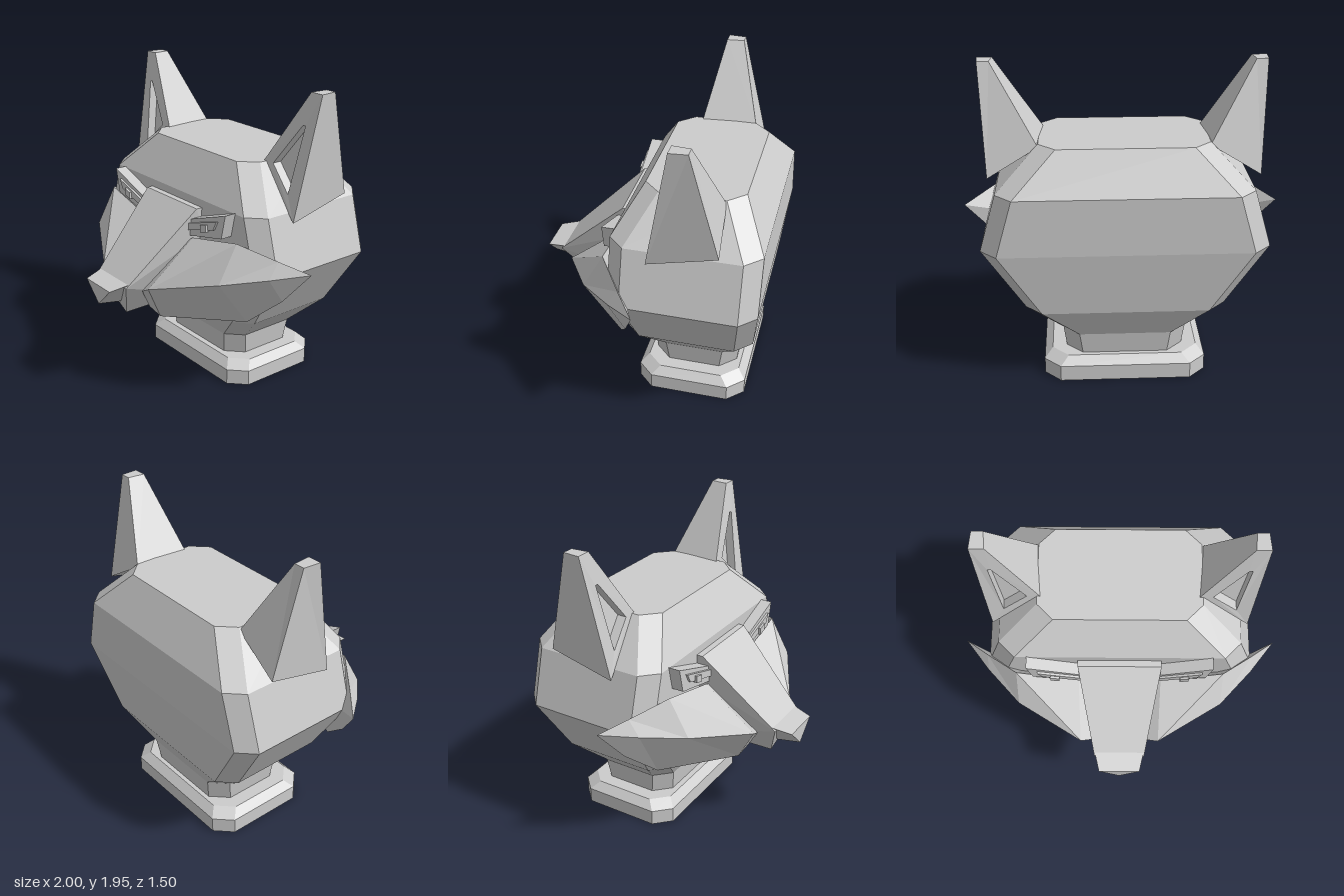
import * as THREE from 'three';
import { ConvexGeometry } from 'three/addons/geometries/ConvexGeometry.js';

const grey = new THREE.MeshStandardMaterial({ color: 0xcccccc, flatShading: true });
grey.name = 'stone grey';

// Closed faceted solid from rings of equal point count, wound outwards by its signed volume
function solid(rings) {
  const n = rings[0].length, tris = [];
  const last = rings[rings.length - 1];
  for (let r = 0; r < rings.length - 1; r++) {
    const a = rings[r], b = rings[r + 1];
    for (let i = 0; i < n; i++) {
      const j = (i + 1) % n;
      tris.push([a[i], a[j], b[j]], [a[i], b[j], b[i]]);
    }
  }
  for (let i = 1; i < n - 1; i++) {
    tris.push([rings[0][0], rings[0][i + 1], rings[0][i]], [last[0], last[i], last[i + 1]]);
  }
  let volume = 0;
  const c = new THREE.Vector3(...rings[0][0]);
  for (const t of tris) {
    const [p, q, s] = t.map(v => new THREE.Vector3(...v).sub(c));
    volume += p.dot(q.cross(s));
  }
  if (volume < 0) tris.forEach(t => t.reverse());
  const g = new THREE.BufferGeometry();
  g.setAttribute('position', new THREE.Float32BufferAttribute(tris.flat(2), 3));
  g.computeVertexNormals();
  return g;
}

// Horizontal rectangle with cut corners
function octagon(y, w, z0, z1, c = 0.1) {
  return [
    [w - c, y, z1], [w, y, z1 - c], [w, y, z0 + c], [w - c, y, z0],
    [c - w, y, z0], [-w, y, z0 + c], [-w, y, z1 - c], [c - w, y, z1],
  ];
}

export function createModel() {
  const group = new THREE.Group();
  const add = (name, geometry) => {
    const mesh = new THREE.Mesh(geometry, grey);
    mesh.name = name;
    group.add(mesh);
  };

  // Pedestal with a rectangular socket underneath
  add('base', solid([
    octagon(0.1, 0.2, -0.42, -0.18, 0), octagon(0, 0.2, -0.42, -0.18, 0),
    octagon(0, 0.5, -0.65, 0.05), octagon(0.1, 0.5, -0.65, 0.05), octagon(0.15, 0.45, -0.6, 0),
  ]));
  add('neck', solid([octagon(0.14, 0.36, -0.57, -0.04), octagon(0.29, 0.38, -0.59, -0.02)]));
  add('head', solid([
    octagon(0.29, 0.38, -0.59, -0.02), octagon(0.5, 0.6, -0.7, 0.1),
    octagon(0.9, 0.85, -0.75, 0.15), octagon(1.25, 0.75, -0.75, 0.15), octagon(1.5, 0.5, -0.6, 0),
  ]));

  // Sloping snout, tapering to the chin
  const snout = [[0, 0.51, 0.55]];
  for (const s of [-1, 1]) {
    snout.push([s * 0.26, 1.2, 0.19], [s * 0.26, 1.2, 0.1], [s * 0.25, 1.02, 0.12],
      [s * 0.16, 0.76, 0.65], [s * 0.08, 0.56, 0.1]);
  }
  add('snout', new ConvexGeometry(snout.map(p => new THREE.Vector3(...p))));
  add('nose', solid([
    [[-0.16, 0.78, 0.62], [0.16, 0.78, 0.62], [0, 0.6, 0.59]],
    [[-0.13, 0.755, 0.75], [0.13, 0.755, 0.75], [0, 0.63, 0.75]],
  ]));

  for (const [s, side] of [[1, 'left'], [-1, 'right']]) {
    const mirror = rings => solid(rings.map(r => r.map(([x, y, z]) => [s * x, y, z])));

    // Ear: back, front rim, inset edge, recess floor
    const inset = [[0.715, 1.35, -0.13], [0.56, 1.5, -0.15], [0.745, 1.76, -0.2], [0.765, 1.76, -0.2]];
    add(side + 'Ear', mirror([
      [[0.8, 1.3, -0.52], [0.5, 1.48, -0.5], [0.77, 1.95, -0.35], [0.84, 1.95, -0.35]],
      [[0.8, 1.2, -0.1], [0.48, 1.5, -0.15], [0.76, 1.95, -0.24], [0.85, 1.95, -0.24]],
      inset,
      inset.map(([x, y, z]) => [x, y, z - 0.06]),
    ]));

    // Cheek ruff: each section is top, ridge, bottom, back
    const tip = [1, 0.95, -0.07];
    add(side + 'Cheek', mirror([
      [tip, tip, tip, tip],
      [[0.85, 1.015, 0.05], [0.85, 0.915, 0.12], [0.85, 0.75, 0.01], [0.83, 0.89, 0]],
      [[0.65, 1.1, 0.2], [0.65, 0.87, 0.33], [0.64, 0.56, 0.1], [0.6, 0.85, 0.08]],
      [[0.26, 1.02, 0.22], [0.25, 0.76, 0.55], [0.16, 0.5, 0.4], [0.25, 0.75, 0.1]],
      [[0.14, 0.95, 0.22], [0.14, 0.7, 0.52], [0.07, 0.54, 0.42], [0.05, 0.7, 0.1]],
    ]));

    // Slanted eye: socket plate, eye and pupil
    const plate = (pts, z0, z1) => mirror([z0, z1].map(z => pts.map(([x, y]) => [x, y, z])));
    add(side + 'EyeSocket', plate([[0.575, 1.255], [0.24, 1.137], [0.24, 1.03], [0.54, 1.1]], 0.1, 0.225));
    add(side + 'Eye', plate([[0.51, 1.2], [0.24, 1.115], [0.24, 1.07], [0.48, 1.14]], 0.22, 0.24));
    add(side + 'Pupil', plate([[0.43, 1.16], [0.375, 1.145], [0.375, 1.1], [0.43, 1.115]], 0.23, 0.255));
  }
  return group;
}
